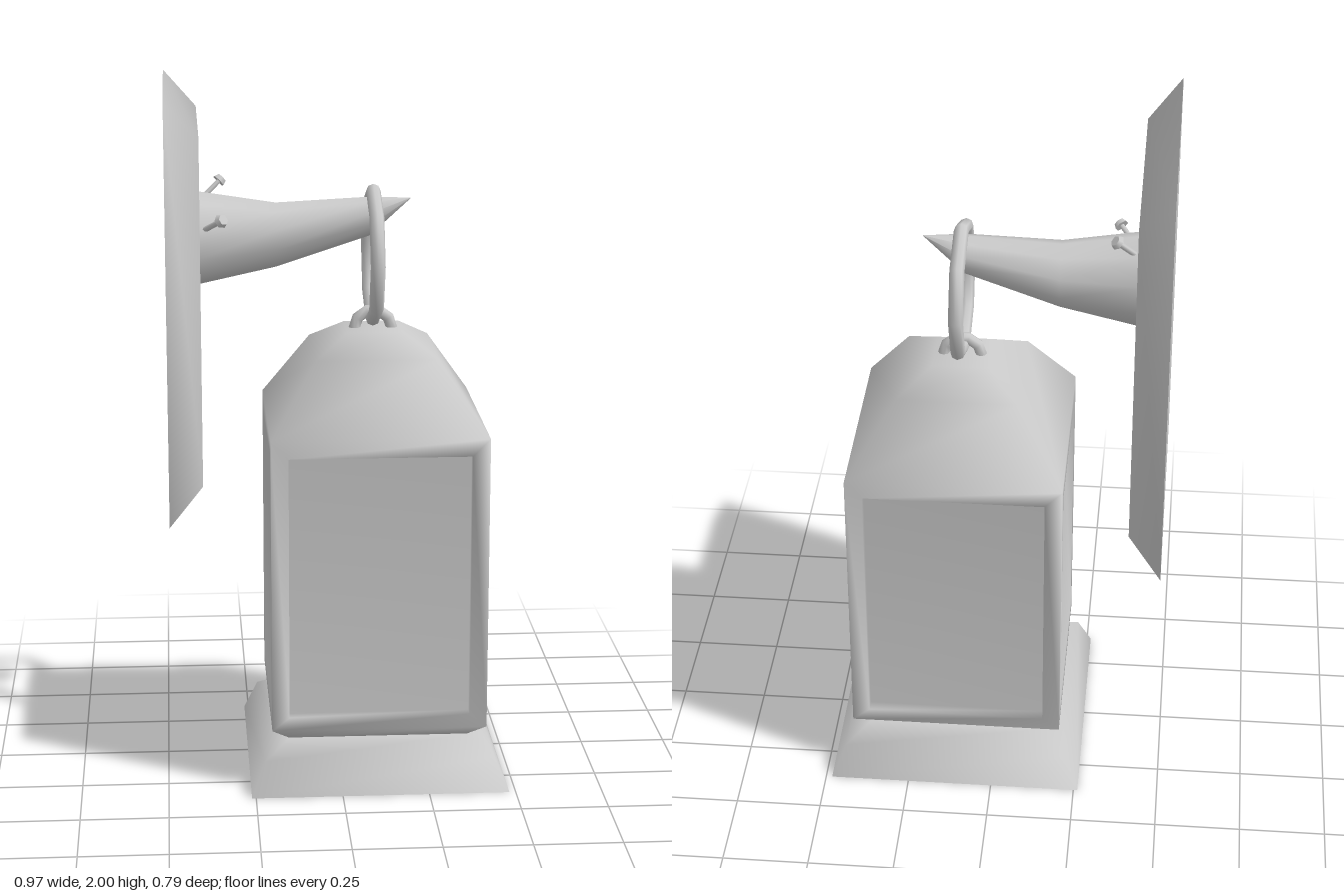
import * as THREE from 'three';
import { mergeVertices } from 'three/addons/utils/BufferGeometryUtils.js';

const material = new THREE.MeshStandardMaterial({ color: 0xcccccc });
const CX = 0.11; // lantern axis
const CZ = 0.005;

function add(parent, name, geometry, x = 0, y = 0, z = 0) {
  const mesh = new THREE.Mesh(geometry, material);
  mesh.name = name;
  mesh.position.set(x, y, z);
  parent.add(mesh);
  return mesh;
}

// Four corners of a rectangle at height y, counter-clockwise from above
const square = (hx, y, hz = hx) =>
  [[-hx, y, hz], [hx, y, hz], [hx, y, -hz], [-hx, y, -hz]];

function quad(out, a, b, c, d) {
  out.push(...a, ...b, ...c, ...a, ...c, ...d);
}

// Joins successive loops of points with quads
function loft(out, rings, capEnd = false) {
  for (let r = 0; r < rings.length - 1; r++) {
    const a = rings[r], b = rings[r + 1], n = a.length;
    for (let i = 0; i < n; i++) {
      const j = (i + 1) % n;
      quad(out, a[i], a[j], b[j], b[i]);
    }
  }
  if (capEnd) quad(out, ...rings[rings.length - 1]);
}

function smooth(out) {
  let g = new THREE.BufferGeometry();
  g.setAttribute('position', new THREE.Float32BufferAttribute(out, 3));
  g = mergeVertices(g, 1e-4);
  g.computeVertexNormals();
  return g;
}

function flatFace(corners) {
  const out = [];
  quad(out, ...corners);
  return smooth(out);
}

// Body with a recessed window in each side, and the domed roof
function bodyGeometry() {
  const out = [], h = 0.31;
  loft(out, [square(0.26, 0.14), square(h, 0.18)]);
  loft(out, [square(h, 1.04), square(0.175, 1.24), square(0.08, 1.3)], true);
  const windowRing = (hx, y0, y1, z) =>
    [[-hx, y0, z], [hx, y0, z], [hx, y1, z], [-hx, y1, z]];
  for (let s = 0; s < 4; s++) {
    const c = Math.round(Math.cos(s * Math.PI / 2));
    const k = Math.round(Math.sin(s * Math.PI / 2));
    const turn = ([x, y, z]) => [x * c + z * k, y, z * c - x * k];
    const rings = [
      windowRing(h, 0.18, 1.04, h),
      windowRing(0.26, 0.22, 0.99, h),
      windowRing(0.26, 0.22, 0.99, h - 0.035),
    ];
    loft(out, rings.map(r => r.map(turn)), true);
  }
  return smooth(out);
}

// Tapered round arm along x, with a pointed tip
function armGeometry() {
  const n = 10, out = [];
  const sections = [ // x, centre y, half height, half depth
    [-0.4, 1.566, 0.136, 0.13],
    [-0.17, 1.573, 0.093, 0.096],
    [0.1, 1.624, 0.056, 0.054],
    [0.217, 1.675, 0.001, 0.001],
  ];
  loft(out, sections.map(([x, y, ry, rz]) =>
    Array.from({ length: n }, (_, i) => {
      const a = (i / n) * Math.PI * 2 + Math.PI / 2;
      return [x, y + ry * Math.sin(a), CZ + rz * Math.cos(a) * -1];
    })).map(r => r.reverse()));
  // Order each loop so that its faces point outwards
  for (let i = 0; i < out.length; i += 9) {
    const p = [0, 3, 6].map(k => new THREE.Vector3(...out.slice(i + k, i + k + 3)));
    const normal = p[1].clone().sub(p[0]).cross(p[2].clone().sub(p[0]));
    const mid = p[0].clone().add(p[1]).add(p[2]).divideScalar(3);
    const axisY = 1.6 + 0.16 * (mid.x + 0.04);
    if (normal.dot(new THREE.Vector3(0, mid.y - axisY, mid.z - CZ)) < 0) {
      const b = out.slice(i + 3, i + 6);
      out.splice(i + 3, 6, ...out.slice(i + 6, i + 9), ...b);
    }
  }
  return smooth(out);
}

// Nail with a six-sided head, from its foot to its head
function addNail(parent, name, foot, head) {
  const a = new THREE.Vector3(...foot), b = new THREE.Vector3(...head);
  const length = a.distanceTo(b);
  const nail = new THREE.Group();
  nail.name = name;
  add(nail, 'nailShank', new THREE.CylinderGeometry(0.008, 0.008, length, 6), 0, length / 2, 0);
  add(nail, 'nailHead', new THREE.CylinderGeometry(0.016, 0.021, 0.014, 6), 0, length, 0);
  nail.position.copy(a);
  nail.quaternion.setFromUnitVectors(new THREE.Vector3(0, 1, 0), b.sub(a).normalize());
  parent.add(nail);
}

export function createModel() {
  const model = new THREE.Group();
  model.name = 'wallLantern';

  // Wall plate with bevelled edges
  const plate = new THREE.Group();
  plate.name = 'wallPlate';
  const plateSides = [];
  loft(plateSides, [square(0.59, 0, 0.395), square(0.49, 0.095, 0.33)], true);
  add(plate, 'plateFront', smooth(plateSides));
  add(plate, 'plateBack', flatFace(square(0.59, 0, 0.395).reverse()));
  plate.rotation.z = -Math.PI / 2;
  plate.position.set(-0.485, 1.41, 0);
  model.add(plate);

  // Arm and its nails
  add(model, 'arm', armGeometry());
  addNail(model, 'upperNail', [-0.38, 1.67, -0.05], [-0.325, 1.722, -0.072]);
  addNail(model, 'frontNail', [-0.38, 1.605, 0.11], [-0.326, 1.645, 0.174]);

  // Hanging ring and the small loop on the roof
  const ring = add(model, 'hangingRing', new THREE.TorusGeometry(0.186, 0.021, 8, 8), CX, 1.51, CZ);
  ring.rotation.y = Math.PI / 2;
  add(model, 'roofLoop', new THREE.TorusGeometry(0.055, 0.017, 8, 5, Math.PI), CX, 1.295, CZ);

  // Lantern
  const lantern = new THREE.Group();
  lantern.name = 'lantern';
  lantern.position.set(CX, 0, CZ);
  add(lantern, 'lanternBody', bodyGeometry());
  add(lantern, 'bodyBottom', flatFace(square(0.26, 0.14).reverse()));

  // Flared base
  const baseSides = [];
  loft(baseSides, [square(0.372, 0), square(0.332, 0.095), square(0.262, 0.138)], true);
  add(lantern, 'base', smooth(baseSides));
  add(lantern, 'baseBottom', flatFace(square(0.372, 0).reverse()));
  model.add(lantern);

  return model;
}
